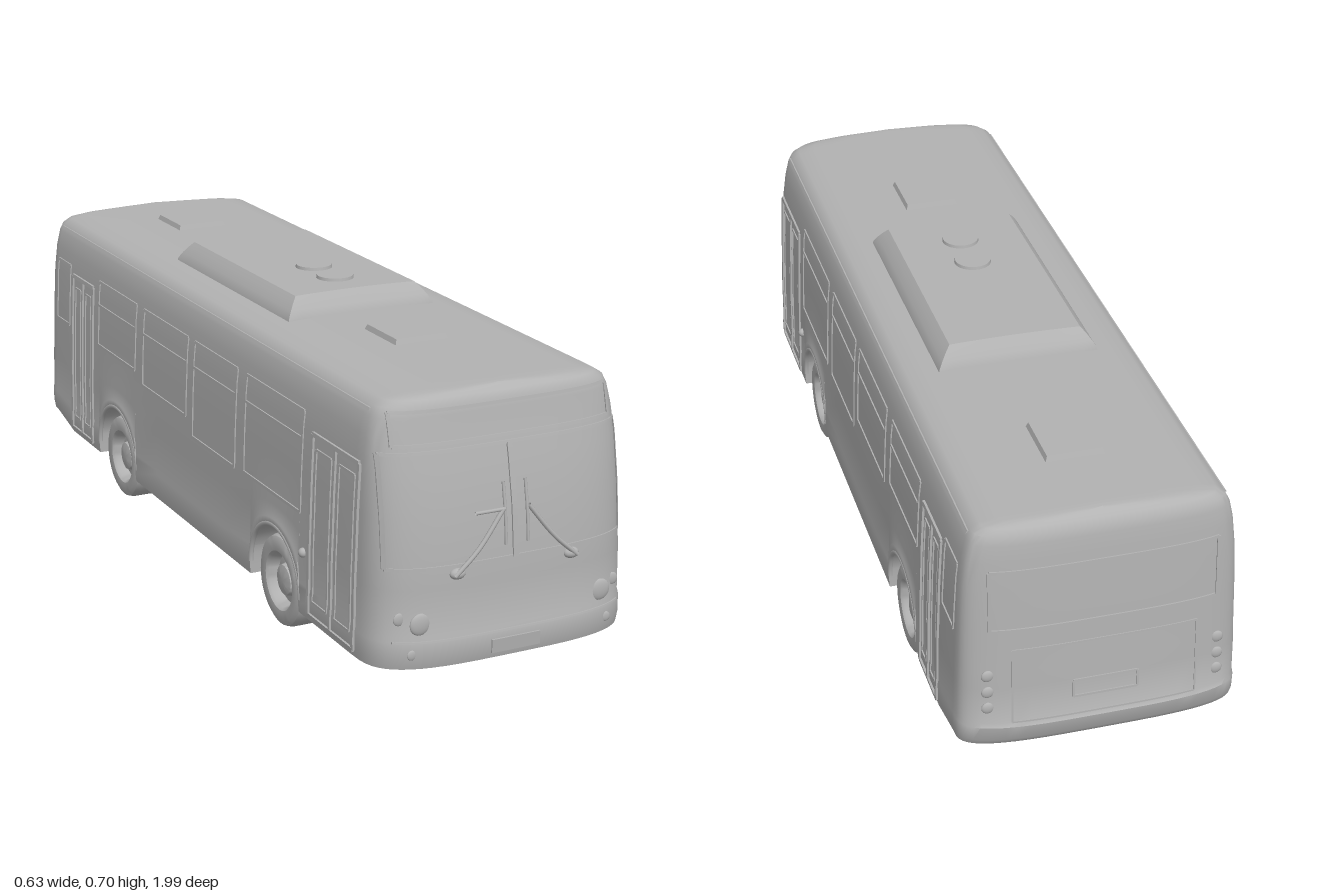
import * as THREE from 'three';
import { toCreasedNormals } from 'three/addons/utils/BufferGeometryUtils.js';

const grey = new THREE.MeshStandardMaterial({ color: 0xb2b2b2, side: THREE.DoubleSide });
grey.name = 'grey';

// Body levels: [y, half width, front z, rear z]
const LEVELS = [
  [0.08, 0.306, 0.99, -0.975], [0.1, 0.308, 0.995, -0.988], [0.14, 0.308, 0.995, -0.993],
  [0.15, 0.306, 0.99, -0.987], [0.25, 0.305, 0.988, -0.983], [0.3, 0.303, 0.984, -0.98],
  [0.4, 0.3, 0.973, -0.975], [0.5, 0.295, 0.953, -0.969], [0.56, 0.288, 0.938, -0.965],
  [0.6, 0.279, 0.93, -0.961], [0.62, 0.269, 0.926, -0.957], [0.632, 0.25, 0.918, -0.948],
  [0.638, 0.21, 0.91, -0.94], [0.642, 0.12, 0.904, -0.934], [0.645, 0, 0.9, -0.93],
];
const FRONT = 0.84, REAR = -0.9, POWER = 3.4;
const AXLES = [0.475, -0.46], ARCH = 0.124, ARCH_Y = 0.11;

// Interpolate a column of the level table at height y
function level(y, k) {
  for (let i = 1; i < LEVELS.length; i++) {
    const a = LEVELS[i - 1], b = LEVELS[i];
    if (y <= b[0]) return THREE.MathUtils.lerp(a[k], b[k], Math.max(0, (y - a[0]) / (b[0] - a[0])));
  }
  return LEVELS[LEVELS.length - 1][k];
}
function endZ(x, y, front) {
  const r = Math.min(1, Math.abs(x) / level(y, 1));
  const bulge = Math.pow(1 - Math.pow(r, POWER), 1 / POWER);
  const base = front ? FRONT : REAR;
  return base + (level(y, front ? 2 : 3) - base) * bulge;
}

// Half outline from front centre along the left side to rear centre
function outline() {
  const pts = [], N = 14, e = 2 / POWER;
  const end = (a, col, base, b) => pts.push({
    b, at: L => [L[1] * Math.pow(Math.sin(a), e), base + (L[col] - base) * Math.pow(Math.max(0, Math.cos(a)), e)],
  });
  const side = (z, b = 0.08) => pts.push({ b, at: L => [L[1], z] });
  for (let i = 0; i <= N; i++) end(i / N * Math.PI / 2, 2, FRONT, 0.08);
  const arch = zc => {
    side(zc + ARCH);
    for (let i = 0; i <= 20; i++) {
      const a = i / 20 * Math.PI;
      side(zc + ARCH * Math.cos(a), ARCH_Y + ARCH * Math.sin(a));
    }
    side(zc - ARCH);
  };
  side(0.7);
  arch(AXLES[0]);
  [0.2, 0, -0.2].forEach(z => side(z));
  arch(AXLES[1]);
  side(-0.65);
  side(-0.78);
  for (let i = N; i >= 0; i--) end(i / N * Math.PI / 2, 3, REAR, 0.108);
  return pts;
}

function bodyGeometry() {
  const half = outline(), n = half.length, count = 2 * n - 2, pos = [], idx = [];
  const mirrorOf = i => (count - i) % count;
  for (const L of LEVELS) {
    for (let i = 0; i < count; i++) {
      const p = half[i < n ? i : mirrorOf(i)], [x, z] = p.at(L);
      const y = L[0] < 0.3 ? p.b + (L[0] - 0.08) * (0.3 - p.b) / 0.22 : L[0];
      pos.push(i < n ? x : -x, y, z);
    }
  }
  for (let j = 0; j < LEVELS.length - 1; j++) {
    for (let i = 0; i < count; i++) {
      const a = j * count + i, b = j * count + (i + 1) % count;
      idx.push(a, b, b + count, a, b + count, a + count);
    }
  }
  // Floor strips, rising into the wheel arches
  for (let i = 0; i < n - 1; i++) {
    idx.push(i, mirrorOf(i), mirrorOf(i + 1), i, mirrorOf(i + 1), i + 1);
  }
  const g = new THREE.BufferGeometry();
  g.setAttribute('position', new THREE.Float32BufferAttribute(pos, 3));
  g.setIndex(idx);
  return toCreasedNormals(g, 0.6);
}

export function createModel() {
  const bus = new THREE.Group();
  const add = (name, geo, x = 0, y = 0, z = 0, parent = bus) => {
    const m = new THREE.Mesh(geo, grey);
    m.name = name;
    m.position.set(x, y, z);
    parent.add(m);
    return m;
  };

  // Thin plate wrapped on a face of the body; u runs across, v is height
  const plate = (name, face, u, v, w, h, t = 0.004) => {
    const g = new THREE.BoxGeometry(w, h, 2 * t, Math.max(1, Math.ceil(w / 0.02)), Math.max(1, Math.ceil(h / 0.03)), 1);
    const p = g.attributes.position;
    for (let i = 0; i < p.count; i++) {
      const U = u + p.getX(i), V = v + p.getY(i), d = p.getZ(i);
      if (face === 'front') p.setXYZ(i, U, V, endZ(U, V, true) + d);
      else if (face === 'rear') p.setXYZ(i, -U, V, endZ(U, V, false) - d);
      else if (face === 'left') p.setXYZ(i, level(V, 1) + d, V, -U);
      else p.setXYZ(i, -level(V, 1) - d, V, U);
    }
    return add(name, toCreasedNormals(g, 0.6));
  };
  const frame = (name, face, u0, u1, v0, v1, b = 0.007, t = 0.003) => {
    const u = (u0 + u1) / 2, v = (v0 + v1) / 2, w = Math.abs(u1 - u0), h = v1 - v0;
    plate(name, face, u, v0, w, b, t);
    plate(name, face, u, v1, w, b, t);
    plate(name, face, u0, v, b, h, t);
    plate(name, face, u1, v, b, h, t);
  };

  add('body', bodyGeometry());
  // Inner walls of the wheel wells
  for (const z of AXLES) add('wheelWellCore', new THREE.BoxGeometry(0.34, 0.17, 0.25), 0, 0.166, z);

  // Doors and windows on both sides
  for (const [face, s] of [['left', -1], ['right', 1]]) {
    for (const [a, b, top] of [[0.86, 0.65, 0.5], [-0.63, -0.775, 0.51]]) {
      const mid = (a + b) / 2, g = 0.018;
      frame('doorFrame', face, s * a, s * b, 0.095, top, 0.01, 0.005);
      plate('doorPost', face, s * mid, (0.095 + top) / 2, 0.008, top - 0.1, 0.005);
      frame('doorGlassFrame', face, s * (a - g), s * (mid + g), 0.13, top - 0.03, 0.005);
      frame('doorGlassFrame', face, s * (mid - g), s * (b + g), 0.13, top - 0.03, 0.005);
    }
    for (const [a, b, low, high] of [[0.6, 0.31, 0.31, 0.535], [0.26, 0.02, 0.305, 0.535],
      [-0.02, -0.29, 0.345, 0.535], [-0.34, -0.59, 0.37, 0.535]]) {
      frame('sideWindowFrame', face, s * a, s * b, low, high);
      plate('windowRail', face, s * (a + b) / 2, 0.475, a - b, 0.006, 0.003);
    }
    frame('rearSideWindowFrame', face, s * -0.8, s * -0.89, 0.37, 0.53);
    plate('roofGutter', face, s * -0.02, 0.612, 1.76, 0.006, 0.003);
  }

  // Front: destination panel, windscreen, bumper and number plate
  frame('destinationPanelFrame', 'front', -0.255, 0.255, 0.545, 0.612);
  frame('windscreenFrame', 'front', -0.28, 0.28, 0.295, 0.53);
  plate('windscreenDivider', 'front', 0, 0.412, 0.012, 0.235);
  plate('bumperSeam', 'front', 0, 0.14, 0.54, 0.004, 0.003);
  plate('frontNumberPlate', 'front', 0, 0.108, 0.115, 0.03);

  // Rear: window, engine cover and number plate
  frame('rearWindowFrame', 'rear', -0.245, 0.245, 0.4, 0.54);
  frame('engineCoverFrame', 'rear', -0.2, 0.2, 0.17, 0.35, 0.004, 0.002);
  frame('rearNumberPlateFrame', 'rear', -0.07, 0.07, 0.215, 0.255, 0.005);
  plate('rearBumperSeam', 'rear', 0, 0.155, 0.54, 0.005, 0.003);

  for (const s of [-1, 1]) {
    // Lamps
    for (const [x, y, r] of [[0.215, 0.178, 0.024], [0.255, 0.19, 0.014], [0.233, 0.113, 0.011]]) {
      const lamp = add('frontLamp', new THREE.SphereGeometry(r, 20, 12), s * x, y, endZ(x, y, true));
      lamp.scale.z = 0.3;
    }
    for (const y of [0.21, 0.25, 0.29]) {
      const lamp = add('rearLamp', new THREE.SphereGeometry(0.014, 16, 10), s * 0.25, y, endZ(0.25, y, false));
      lamp.scale.z = 0.4;
    }
    add('sideMarker', new THREE.SphereGeometry(0.011, 16, 10), s * 0.306, 0.225, 0.62);

    // Wipers
    const wiper = (pts, r) => {
      const curve = new THREE.CatmullRomCurve3(pts.map(([x, y]) => new THREE.Vector3(s * x, y, endZ(x, y, true) + 0.009)));
      add('wiper', new THREE.TubeGeometry(curve, 12, r, 8));
    };
    wiper([[0.145, 0.275], [0.09, 0.325], [0.03, 0.4]], 0.005);
    wiper([[0.026, 0.325], [0.026, 0.39], [0.026, 0.455]], 0.0035);
    if (s < 0) wiper([[0.095, 0.4], [0.06, 0.4], [0.026, 0.4]], 0.004);
    const pivot = add('wiperPivot', new THREE.SphereGeometry(0.012, 16, 10), s * 0.135, 0.278, endZ(0.135, 0.278, true));
    pivot.scale.x = 1.5;

    // Wheels: inner and outer tyre halves, rim and hub, with arch lips
    const profile = [[0, -0.056], [0.09, -0.056], [0.102, -0.048], [0.105, -0.03], [0.105, -0.008], [0.101, -0.005],
      [0.105, -0.002], [0.105, 0.038], [0.101, 0.05], [0.09, 0.056], [0.068, 0.054], [0.062, 0.048],
      [0.056, 0.026], [0.038, 0.028], [0.034, 0.042], [0.02, 0.046], [0, 0.046]];
    const tyre = toCreasedNormals(new THREE.LatheGeometry(profile.map(p => new THREE.Vector2(...p)), 40), 0.6);
    for (const z of AXLES) {
      add('wheel', tyre, s * 0.241, 0.105, z).rotation.z = -s * Math.PI / 2;
      add('archLip', new THREE.TorusGeometry(ARCH + 0.003, 0.006, 8, 32, Math.PI), s * 0.304, ARCH_Y, z).rotation.y = Math.PI / 2;
    }
  }

  // Roof air conditioner with tapering sides
  const unit = new THREE.BoxGeometry(0.37, 0.06, 0.635, 12, 4, 12), p = unit.attributes.position;
  const inset = [0, 0.003, 0.012, 0.023, 0.034];
  for (let i = 0; i < p.count; i++) {
    const x = p.getX(i), y = p.getY(i), z = p.getZ(i);
    const k = inset[Math.round((y + 0.03) / 0.015)];
    p.setXYZ(i, x * (1 - k / 0.185), y - (y > 0.029 ? 0.08 * x * x : 0), z * (1 - k / 0.3175));
  }
  add('airConditioner', toCreasedNormals(unit, 0.5), 0, 0.66, -0.02);
  for (const z of [0.05, 0.16]) add('roofFan', new THREE.CylinderGeometry(0.042, 0.044, 0.012, 32), 0, 0.691, z);

  // Roof hatches
  for (const z of [0.505, -0.675]) {
    const hatch = new THREE.CylinderGeometry(0.085, 0.095, 0.02, 4).toNonIndexed().rotateY(Math.PI / 4);
    hatch.computeVertexNormals();
    add('roofHatch', hatch, 0, 0.645, z).scale.z = 1.12;
  }
  return bus;
}
